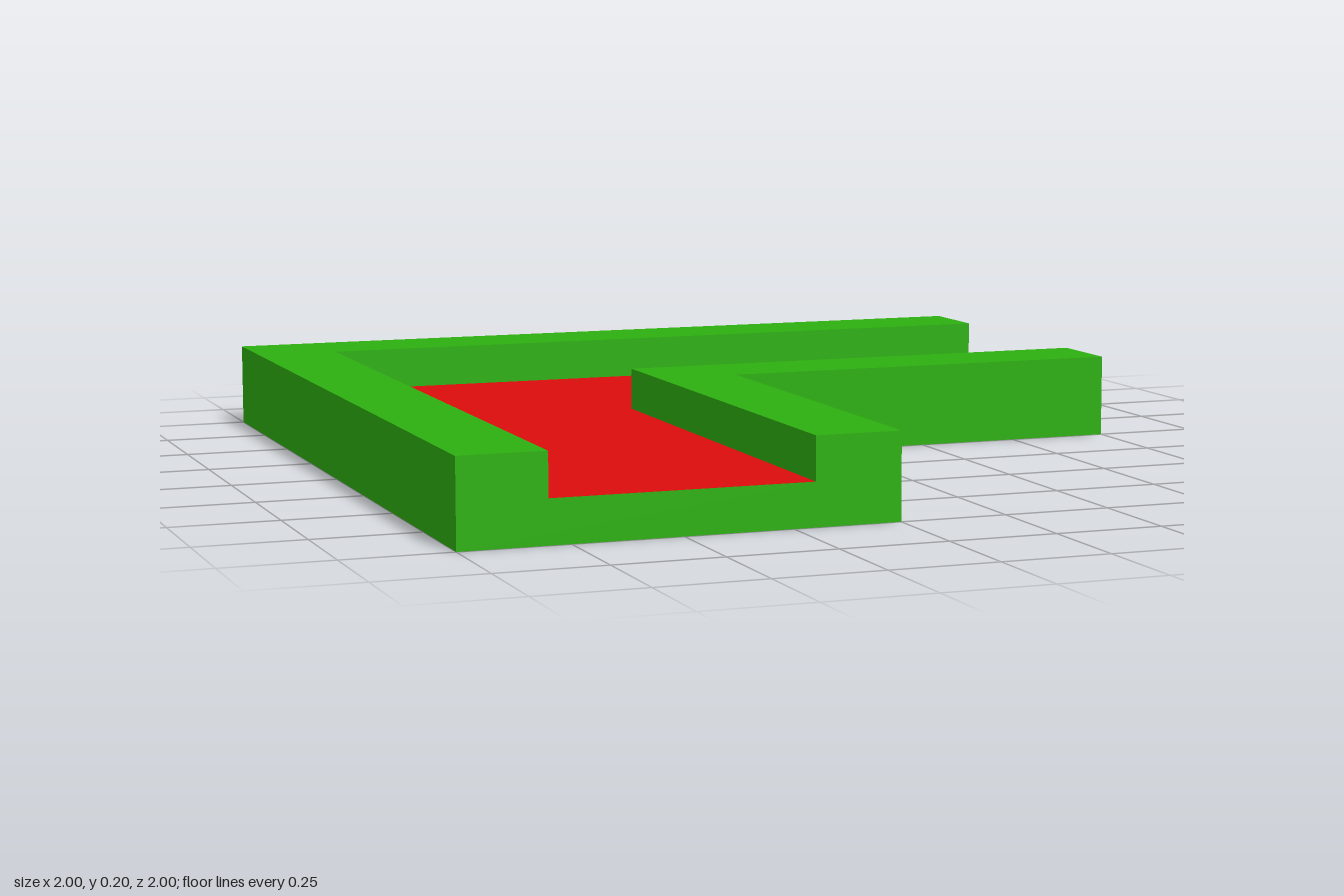
import * as THREE from 'three';
import { mergeGeometries } from 'three/addons/utils/BufferGeometryUtils.js';

// Channel cross-section, outer edge first: [offset across the path, height]
const PROFILE = [
  [-1, 0], [-1, 0.2], [-0.8, 0.2], [-0.8, 0.1],
  [-0.2, 0.1], [-0.2, 0.2], [0, 0.2], [0, 0],
];
const FLOOR_EDGE = 3; // profile edge that forms the channel floor

// Stations along the L path: front end, mitred corner, right end
const STATIONS = [
  ([d, y]) => [d, y, 1],
  ([d, y]) => [d, y, d],
  ([d, y]) => [1, y, d],
];

// Sweep the chosen profile edges through the stations
function sweep(edges) {
  const pos = [];
  for (const i of edges) {
    const a = PROFILE[i], b = PROFILE[(i + 1) % PROFILE.length];
    for (let s = 0; s < STATIONS.length - 1; s++) {
      const p = STATIONS[s], q = STATIONS[s + 1];
      pos.push(...p(a), ...p(b), ...q(b), ...p(a), ...q(b), ...q(a));
    }
  }
  const geo = new THREE.BufferGeometry();
  geo.setAttribute('position', new THREE.Float32BufferAttribute(pos, 3));
  geo.computeVertexNormals();
  return geo;
}

// Flat end face in the shape of the profile
function endCap(sign) {
  const shape = new THREE.Shape(PROFILE.map(([d, y]) => new THREE.Vector2(sign * d, y)));
  const geo = new THREE.ShapeGeometry(shape).toNonIndexed();
  geo.deleteAttribute('uv');
  return geo;
}

export function createModel() {
  const model = new THREE.Group();
  model.name = 'cornerTrack';

  const add = (name, geometry, color) => {
    const mesh = new THREE.Mesh(geometry, new THREE.MeshStandardMaterial({ color }));
    mesh.name = name;
    model.add(mesh);
  };

  // Green body: walls, underside and both ends
  const bodyEdges = PROFILE.map((_, i) => i).filter((i) => i !== FLOOR_EDGE);
  add('trackBody', mergeGeometries([
    sweep(bodyEdges),
    endCap(1).translate(0, 0, 1),
    endCap(-1).rotateY(Math.PI / 2).translate(1, 0, 0),
  ]), 0x2db010);

  // Red channel floor
  add('channelFloor', sweep([FLOOR_EDGE]), 0xdd0d0d);

  return model;
}
